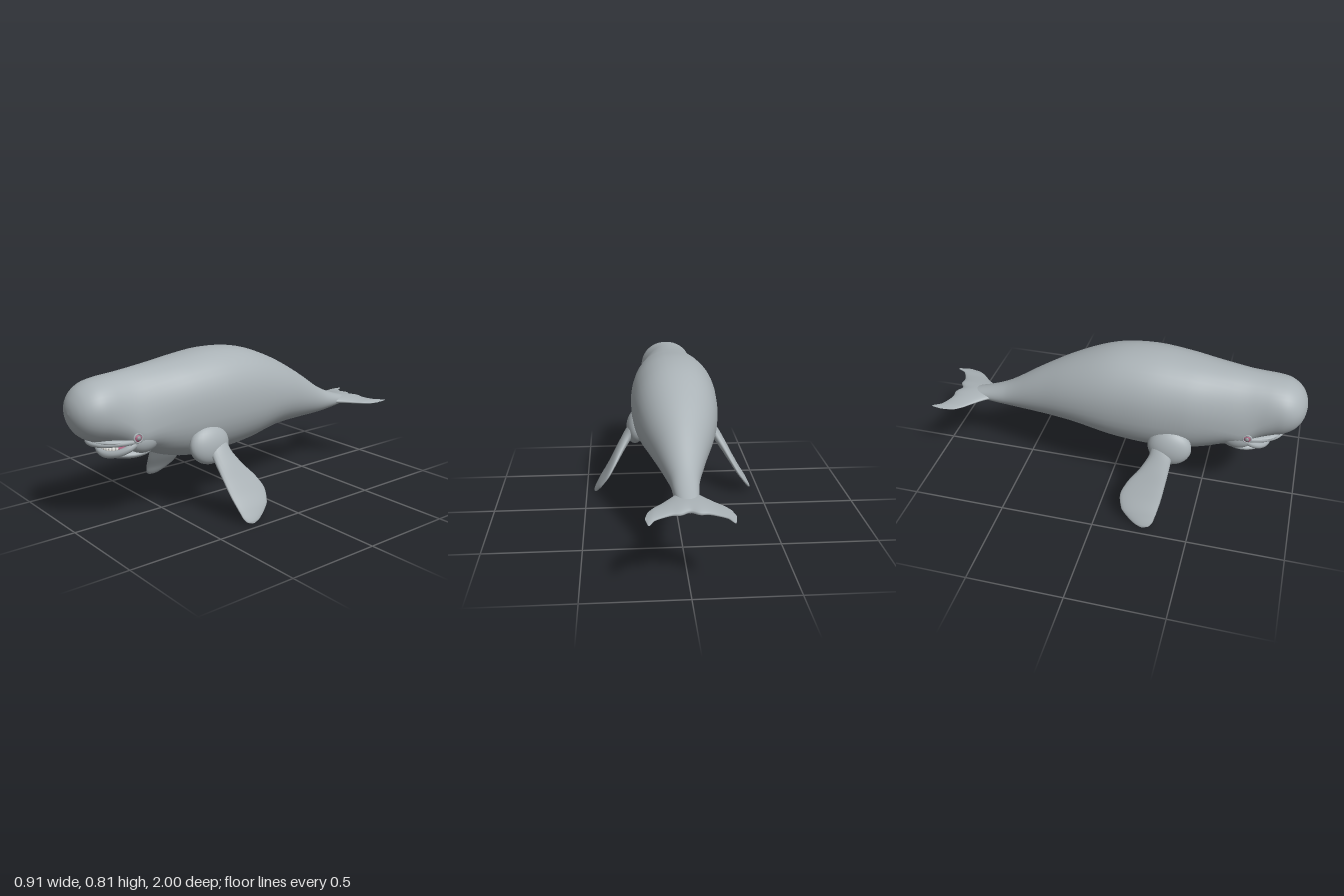
import * as THREE from 'three';

const V = (x, y, z) => new THREE.Vector3(x, y, z);
const mat = (name, color) => {
  const m = new THREE.MeshStandardMaterial({ color });
  m.name = name;
  return m;
};

// Skin a list of closed rings (arrays of Vector3) with smooth normals
function skinRings(rings) {
  const m = rings[0].length, index = [];
  for (let i = 0; i < rings.length - 1; i++)
    for (let j = 0; j < m; j++) {
      const k = (j + 1) % m;
      const a = i * m + j, b = i * m + k, c = a + m, d = b + m;
      index.push(a, b, c, b, d, c);
    }
  const g = new THREE.BufferGeometry().setFromPoints(rings.flat());
  g.setIndex(index);
  g.computeVertexNormals();
  return g;
}

// Body from stations [z, top, bottom, halfWidth, yOfWidest, squareness]
function bodyGeometry(rows) {
  const a = new THREE.CatmullRomCurve3(rows.map(r => V(r[0], r[1], r[2])));
  const b = new THREE.CatmullRomCurve3(rows.map(r => V(r[3], r[4], r[5])));
  const rings = [], steps = (rows.length - 1) * 4, sides = 40;
  for (let i = 0; i <= steps; i++) {
    const p = a.getPoint(i / steps), q = b.getPoint(i / steps), ring = [];
    for (let j = 0; j < sides; j++) {
      const t = (j / sides) * Math.PI * 2;
      const bend = v => Math.sign(v) * Math.pow(Math.abs(v), 2 / q.z);
      const c = bend(Math.cos(t)), s = bend(Math.sin(t));
      ring.push(V(q.x * c, q.y + s * (s > 0 ? p.y - q.y : q.y - p.z), p.x));
    }
    rings.push(ring);
  }
  return skinRings(rings);
}

// Fin from stations [x, y, frontZ, backZ, halfThickness], lens-shaped in section
function finGeometry(rows, steps = 32) {
  const a = new THREE.CatmullRomCurve3(rows.map(r => V(r[0], r[1], 0)));
  const b = new THREE.CatmullRomCurve3(rows.map(r => V(r[2], r[3], r[4])));
  const rings = [];
  for (let i = 0; i <= steps; i++) {
    const c = a.getPoint(i / steps), q = b.getPoint(i / steps);
    const n = a.getTangent(i / steps).cross(V(0, 0, 1)).normalize();
    const ring = [];
    for (let j = 0; j < 20; j++) {
      const t = (j / 20) * Math.PI * 2;
      ring.push(V(c.x, c.y, (q.x + q.y) / 2 + Math.cos(t) * (q.x - q.y) / 2)
        .addScaledVector(n, Math.sin(t) * q.z));
    }
    rings.push(ring);
  }
  return skinRings(rings);
}

export function createModel() {
  const model = new THREE.Group();
  model.name = 'whale';
  const skin = mat('grey skin', 0xaab2b6);
  const pink = mat('mouth pink', 0xa85f7c);
  const ivory = mat('tooth ivory', 0xe4e4e0);
  const eyeGrey = mat('eye grey', 0x8c9498);

  const add = (name, geometry, material) => {
    const mesh = new THREE.Mesh(geometry, material);
    mesh.name = name;
    model.add(mesh);
    return mesh;
  };
  const ellipsoid = (name, material, pos, size) => {
    const e = add(name, new THREE.SphereGeometry(1, 28, 18), material);
    e.position.set(...pos);
    e.scale.set(...size);
    return e;
  };
  const tube = (name, pts, r, material) =>
    add(name, new THREE.TubeGeometry(new THREE.CatmullRomCurve3(pts), 32, r, 10), material);

  // Body and rounded forehead
  add('body', bodyGeometry([
    [-0.89, 0.372, 0.366, 0, 0.369, 2],
    [-0.8, 0.398, 0.35, 0.045, 0.372, 2],
    [-0.7, 0.43, 0.335, 0.06, 0.38, 2],
    [-0.6, 0.475, 0.325, 0.072, 0.4, 2],
    [-0.4, 0.605, 0.325, 0.13, 0.46, 2],
    [-0.2, 0.715, 0.322, 0.192, 0.51, 2.05],
    [0, 0.79, 0.285, 0.227, 0.54, 2.15],
    [0.2, 0.81, 0.267, 0.235, 0.55, 2.2],
    [0.4, 0.792, 0.275, 0.218, 0.54, 2.25],
    [0.52, 0.778, 0.305, 0.198, 0.52, 2.2],
    [0.62, 0.768, 0.345, 0.184, 0.5, 2.15],
    [0.7, 0.76, 0.35, 0.175, 0.49, 2.1],
    [0.77, 0.753, 0.40, 0.162, 0.54, 2.1],
    [0.84, 0.745, 0.428, 0.156, 0.58, 2.1],
    [0.9, 0.732, 0.445, 0.148, 0.595, 2.05],
    [0.95, 0.704, 0.475, 0.121, 0.595, 2],
    [0.98, 0.667, 0.515, 0.084, 0.594, 2],
    [0.995, 0.63, 0.556, 0.042, 0.593, 2],
    [1, 0.592, 0.592, 0, 0.592, 2],
  ]), skin);

  // Tail flukes, swept from one tip to the other
  const half = [
    [0.2, 0.366, -0.92, -0.94, 0.001],
    [0.187, 0.366, -0.865, -1.0, 0.005],
    [0.16, 0.368, -0.825, -0.955, 0.009],
    [0.12, 0.37, -0.785, -0.93, 0.012],
    [0.08, 0.373, -0.74, -0.916, 0.016],
    [0.04, 0.375, -0.69, -0.918, 0.02],
  ];
  const mirrored = half.map(([x, ...rest]) => [-x, ...rest]).reverse();
  add('tailFlukes', finGeometry([...half, [0, 0.376, -0.67, -0.895, 0.022], ...mirrored], 72), skin);

  // Mouth: upper lip, lower jaw, curved lower lip, tongue
  ellipsoid('upperJaw', skin, [0, 0.445, 0.775], [0.135, 0.024, 0.125]);
  tube('upperLip', [V(-0.145, 0.442, 0.72), V(-0.115, 0.438, 0.81), V(-0.06, 0.434, 0.875),
    V(0, 0.433, 0.893), V(0.06, 0.434, 0.875), V(0.115, 0.438, 0.81), V(0.145, 0.442, 0.72)], 0.014, skin);
  ellipsoid('lowerJaw', skin, [0, 0.37, 0.7], [0.135, 0.035, 0.13]);
  const lipPoint = t => V(0.14 * Math.sin(t), 0.432 - 0.065 * Math.cos(t), 0.72 + 0.105 * Math.cos(t));
  const lip = [];
  for (let i = -4; i <= 4; i++) lip.push(lipPoint((i / 4) * Math.PI / 2));
  tube('lowerLip', lip, 0.018, skin);
  ellipsoid('tongue', pink, [0, 0.4, 0.735], [0.11, 0.016, 0.075]);

  // Lower teeth along the lip
  for (let i = -4; i <= 4; i++) {
    const p = lipPoint(i * 0.16);
    ellipsoid('tooth', ivory, [p.x * 0.92, p.y + 0.022, p.z - 0.01], [0.009, 0.016, 0.009]);
  }

  for (const s of [1, -1]) {
    const side = s > 0 ? 'left' : 'right';
    // Cheek and eye with lids
    ellipsoid(side + 'Cheek', skin, [s * 0.115, 0.44, 0.67], [0.057, 0.07, 0.09]);
    ellipsoid(side + 'EyeRim', pink, [s * 0.163, 0.465, 0.727], [0.012, 0.02, 0.02]);
    ellipsoid(side + 'Eye', eyeGrey, [s * 0.167, 0.465, 0.727], [0.012, 0.013, 0.013]);
    const lid = add(side + 'Eyelid', new THREE.TorusGeometry(0.021, 0.005, 8, 24), skin);
    lid.position.set(s * 0.166, 0.465, 0.727);
    lid.rotation.y = s * (Math.PI / 2 - 0.15);

    // Shoulder bulge and flipper
    const shoulder = ellipsoid(side + 'Shoulder', skin, [s * 0.205, 0.365, 0.34], [0.057, 0.1, 0.115]);
    shoulder.rotation.z = s * 0.15;
    add(side + 'Flipper', finGeometry([
      [s * 0.215, 0.38, 0.36, 0.25, 0.03],
      [s * 0.25, 0.33, 0.362, 0.245, 0.028],
      [s * 0.295, 0.26, 0.356, 0.205, 0.023],
      [s * 0.335, 0.195, 0.347, 0.15, 0.018],
      [s * 0.375, 0.13, 0.337, 0.12, 0.015],
      [s * 0.415, 0.07, 0.323, 0.138, 0.012],
      [s * 0.438, 0.03, 0.31, 0.185, 0.01],
      [s * 0.45, 0.01, 0.293, 0.22, 0.007],
      [s * 0.456, 0.002, 0.265, 0.25, 0.001],
    ]), skin);
  }
  return model;
}
